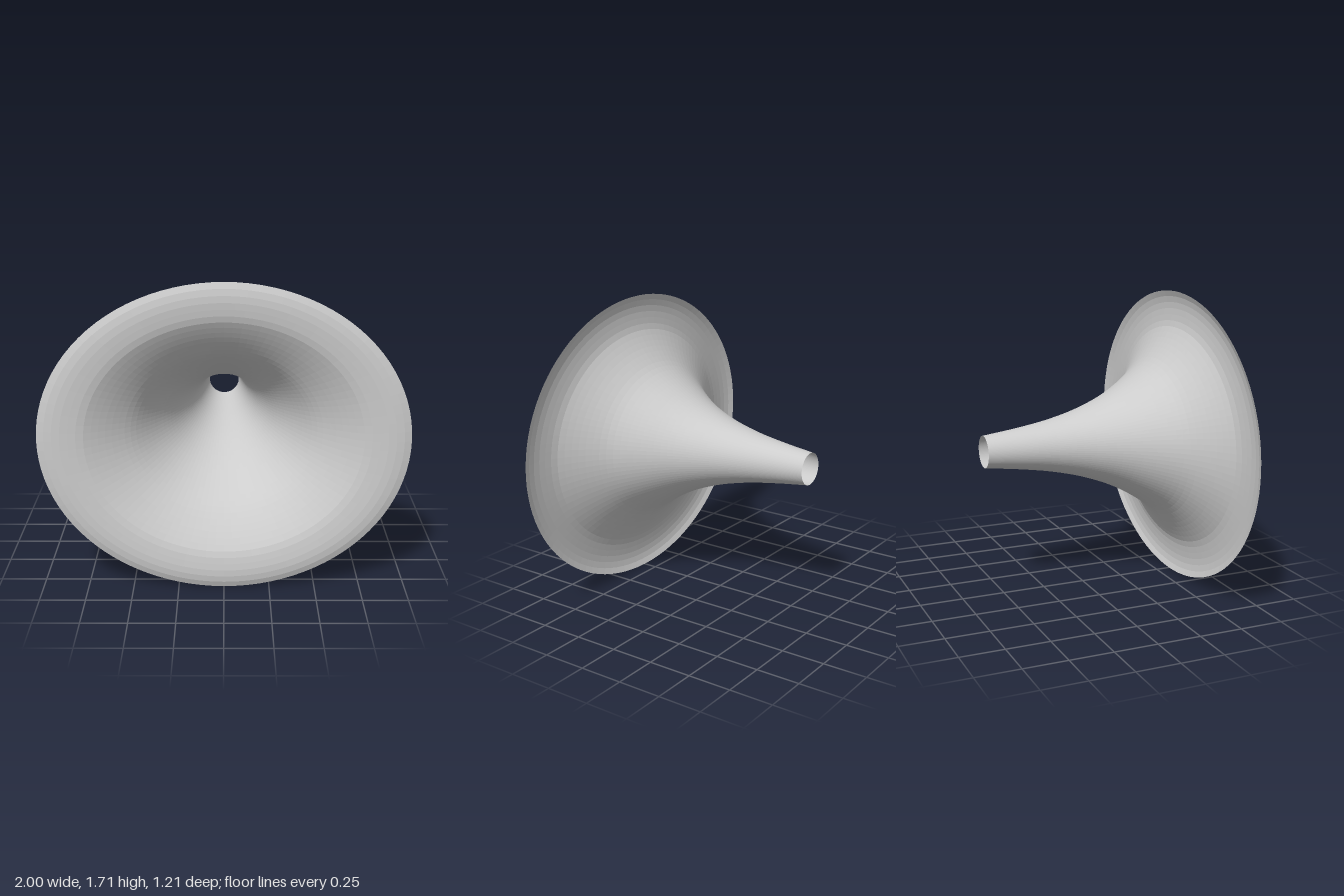
import * as THREE from 'three';

const THROAT = 0.092, MOUTH_Y = 0.857, MOUTH_X = 1;

export function createModel() {
  const model = new THREE.Group();
  model.name = 'horn';
  const grey = new THREE.MeshStandardMaterial({
    color: 0xcccccc, flatShading: true, side: THREE.DoubleSide,
  });
  grey.name = 'grey';

  // Flare profile as (half height, z), from the throat to the rolled-back lip
  const profile = new THREE.SplineCurve([
    [THROAT, -0.605], [0.118, -0.4], [0.152, -0.2], [0.205, 0], [0.287, 0.2],
    [0.412, 0.4], [0.52, 0.505], [0.64, 0.583], [0.7, 0.5985], [0.76, 0.605],
    [0.815, 0.6005], [MOUTH_Y, 0.585],
  ].map(([r, z]) => new THREE.Vector2(r, z)));

  const flare = new THREE.LatheGeometry(profile.getSpacedPoints(44), 96);
  flare.rotateX(Math.PI / 2);

  // Widen the section from a round throat to an oval mouth
  const widen = (MOUTH_X - THROAT) / (MOUTH_Y - THROAT);
  const pos = flare.attributes.position;
  for (let i = 0; i < pos.count; i++) {
    const r = Math.hypot(pos.getX(i), pos.getY(i));
    const rx = THROAT + (r - THROAT) * widen;
    pos.setX(i, pos.getX(i) * rx / r);
  }
  flare.translate(0, MOUTH_Y, 0);
  flare.computeVertexNormals();

  const mesh = new THREE.Mesh(flare, grey);
  mesh.name = 'hornFlare';
  model.add(mesh);
  return model;
}
